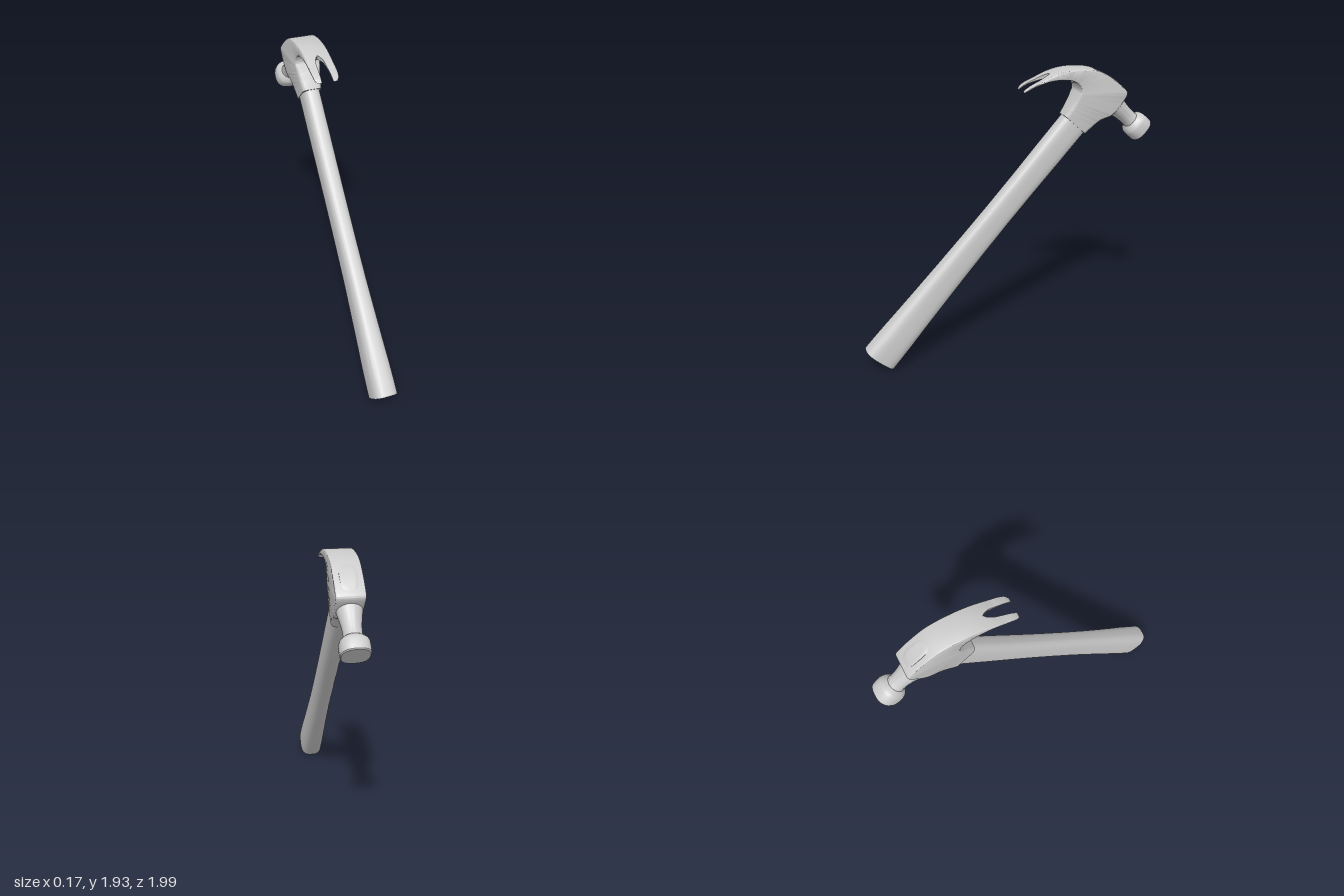
import * as THREE from 'three';
import { toCreasedNormals } from 'three/addons/utils/BufferGeometryUtils.js';

// Skins a stack of closed rings (arrays of Vector3) and caps both ends.
function skin(rings) {
  const n = rings[0].length, pos = [], idx = [];
  rings.forEach(r => r.forEach(p => pos.push(p.x, p.y, p.z)));
  for (let i = 0; i < rings.length - 1; i++) {
    for (let j = 0; j < n; j++) {
      const k = (j + 1) % n, a = i * n + j, b = i * n + k;
      idx.push(a, a + n, b, b, a + n, b + n);
    }
  }
  [0, rings.length - 1].forEach((ri, end) => {
    const c = new THREE.Vector3();
    rings[ri].forEach(p => c.addScaledVector(p, 1 / n));
    const ci = pos.length / 3;
    pos.push(c.x, c.y, c.z);
    for (let j = 0; j < n; j++) {
      const a = ri * n + j, b = ri * n + (j + 1) % n;
      if (end) idx.push(ci, b, a); else idx.push(ci, a, b);
    }
  });
  const g = new THREE.BufferGeometry();
  g.setAttribute('position', new THREE.Float32BufferAttribute(pos, 3));
  g.setIndex(idx);
  return toCreasedNormals(g, 0.6);
}

// Superellipse loft along y; stations are [y, halfX, halfZ, exponent].
function loft(stations, bend = 0, seg = 48) {
  return skin(stations.map(([y, a, b, e]) => {
    const ring = [];
    for (let j = 0; j < seg; j++) {
      const t = (j / seg) * Math.PI * 2, c = Math.cos(t), s = Math.sin(t);
      const x = a * Math.sign(c) * Math.abs(c) ** (2 / e);
      const z = b * Math.sign(s) * Math.abs(s) ** (2 / e);
      ring.push(new THREE.Vector3(x, y - bend * z * z, z));
    }
    return ring;
  }));
}

// Head stations from claw tip over the top and down to the socket:
// [inner z, inner y, outer z, outer y, half width, edge radius]
const HEAD = [
  [-0.080, 1.808, -0.084, 1.816, 0.066, 0.004],
  [-0.100, 1.822, -0.100, 1.828, 0.079, 0.006],
  [-0.140, 1.841, -0.135, 1.847, 0.084, 0.008],
  [-0.195, 1.857, -0.185, 1.868, 0.085, 0.010],
  [-0.260, 1.869, -0.245, 1.895, 0.085, 0.010],
  [-0.330, 1.871, -0.330, 1.920, 0.085, 0.010],
  [-0.393, 1.861, -0.436, 1.929, 0.085, 0.010],
  [-0.435, 1.839, -0.580, 1.909, 0.085, 0.010],
  [-0.453, 1.812, -0.687, 1.846, 0.085, 0.010],
  [-0.457, 1.786, -0.776, 1.768, 0.085, 0.010],
  [-0.454, 1.777, -0.784, 1.752, 0.085, 0.012],
  [-0.446, 1.763, -0.770, 1.715, 0.084, 0.015],
  [-0.425, 1.728, -0.692, 1.615, 0.079, 0.025],
  [-0.400, 1.690, -0.607, 1.580, 0.073, 0.030],
  [-0.361, 1.631, -0.507, 1.500, 0.063, 0.028],
];

// One half of the head; the claw slot opens between the halves.
function headHalf(side) {
  const curve = f => new THREE.CatmullRomCurve3(HEAD.map(f), false, 'centripetal');
  const under = curve(h => new THREE.Vector3(h[4], h[1], h[0]));
  const over = curve(h => new THREE.Vector3(h[4], h[3], h[2]));
  const steps = (HEAD.length - 1) * 10, rings = [];
  for (let i = 0; i <= steps; i++) {
    const t = i / steps, L = under.getPoint(t), U = over.getPoint(t);
    const f = t * (HEAD.length - 1), k = Math.min(Math.floor(f), HEAD.length - 2);
    const w = L.x;
    const slot = Math.max(0, (L.z + U.z) / 2 + 0.275);
    const inner = Math.min(1, Math.sqrt(slot / 0.05)) * 0.025 + slot * 0.06;
    const dir = new THREE.Vector3(0, U.y - L.y, U.z - L.z), thick = dir.length();
    dir.normalize();
    const r = Math.min(THREE.MathUtils.lerp(HEAD[k][5], HEAD[k + 1][5], f - k), thick * 0.45);
    const at = (x, d) => new THREE.Vector3(side * x, L.y + dir.y * d, L.z + dir.z * d);
    const ring = [at(inner, 0)];
    for (let q = 0; q <= 5; q++) {
      const a = (q / 5) * Math.PI / 2;
      ring.push(at(w - r + r * Math.sin(a), r - r * Math.cos(a)));
    }
    for (let q = 0; q <= 5; q++) {
      const a = (q / 5) * Math.PI / 2;
      ring.push(at(w - r + r * Math.cos(a), thick - r + r * Math.sin(a)));
    }
    ring.push(at(inner, thick));
    rings.push(side > 0 ? ring : ring.reverse());
  }
  return skin(rings);
}

export function createModel() {
  const group = new THREE.Group();
  const material = new THREE.MeshStandardMaterial({ color: 0xcccccc });
  // Places a part at (y, z) with its local y axis along (dy, dz).
  const add = (name, geometry, y = 0, z = 0, dy = 1, dz = 0) => {
    const mesh = new THREE.Mesh(geometry, material);
    mesh.name = name;
    mesh.position.set(0, y, z);
    mesh.rotation.x = Math.atan2(dz, dy);
    group.add(mesh);
  };

  // Handle, flared at the butt
  add('handle', loft([
    [0, 0.080, 0.117, 3], [0.08, 0.080, 0.116, 3], [0.2, 0.078, 0.113, 3],
    [0.35, 0.073, 0.108, 3], [0.5, 0.069, 0.104, 3], [0.75, 0.063, 0.098, 3],
    [1.0, 0.061, 0.093, 3], [1.25, 0.060, 0.090, 3], [1.5, 0.060, 0.090, 3],
    [1.75, 0.060, 0.093, 3], [2.03, 0.059, 0.095, 3],
  ]), 0.08, 0.915, 0.74, -0.673);

  // Head with socket and split claw
  add('headLeft', headHalf(1));
  add('headRight', headHalf(-1));

  // Handle end showing in the eye on top
  add('eyePlug', loft([
    [-0.1, 0.05, 0.095, 3], [0.003, 0.05, 0.095, 3], [0.005, 0.046, 0.09, 3],
    [0.005, 0.03, 0.06, 3], [0.005, 0.01, 0.02, 3],
  ], 1.3), 1.845, -0.69, 0.8, -0.6);

  // Striking face, collar and neck
  add('neckAndFace', loft([
    [0, 0.080, 0.081, 2.5], [0.006, 0.085, 0.086, 2.5], [0.03, 0.087, 0.087, 2.5],
    [0.07, 0.086, 0.086, 2.5], [0.085, 0.082, 0.082, 2.4], [0.1, 0.071, 0.071, 2.2],
    [0.113, 0.057, 0.055, 2], [0.13, 0.054, 0.052, 2], [0.17, 0.056, 0.053, 2],
    [0.21, 0.062, 0.057, 2], [0.25, 0.07, 0.064, 2], [0.31, 0.08, 0.074, 2.2],
  ]), 1.475, -0.934, 0.677, 0.735);

  return group;
}
